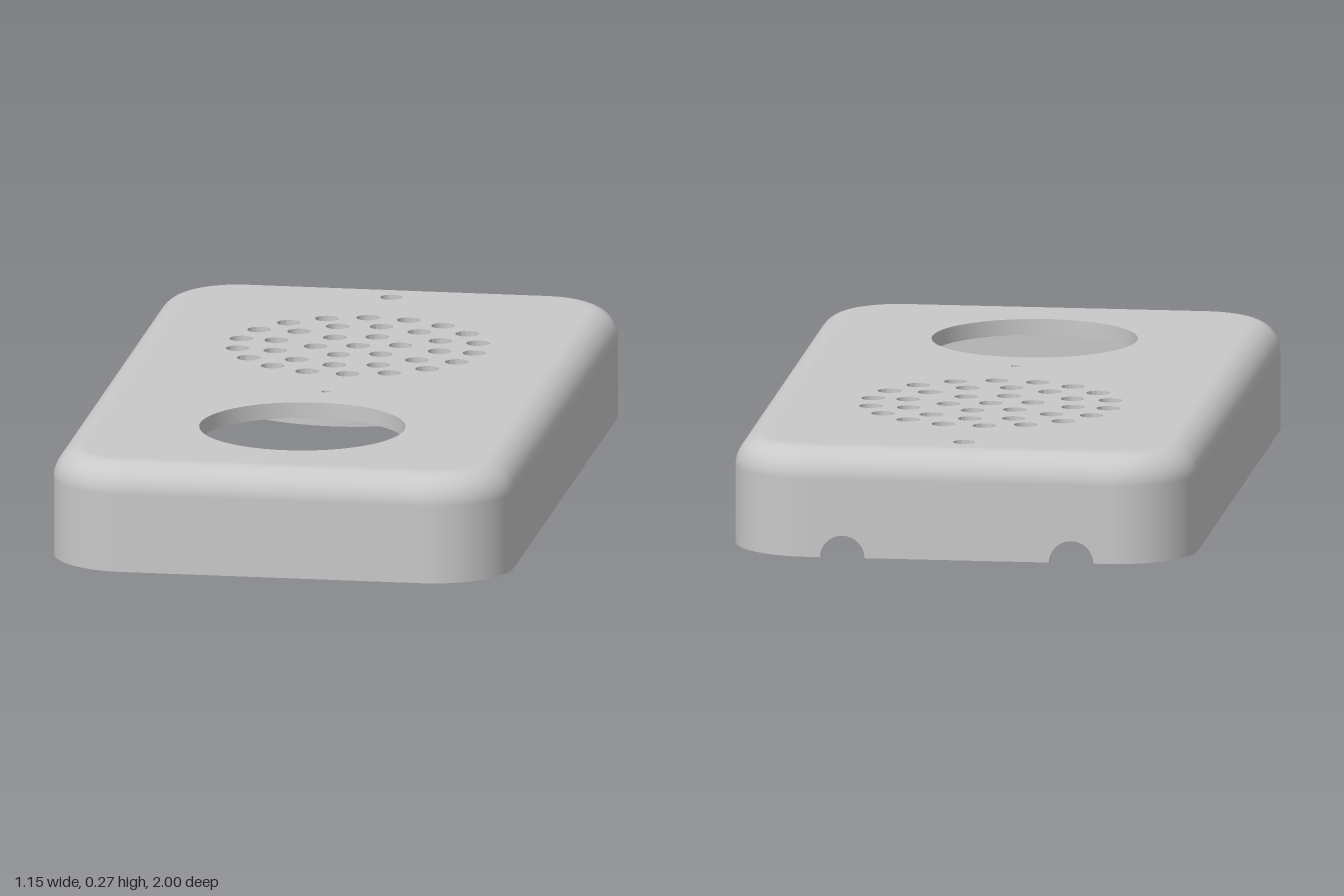
import * as THREE from 'three';
import { toCreasedNormals } from 'three/addons/utils/BufferGeometryUtils.js';

const HX = 0.575, HZ = 1, CORNER = 0.2;   // plan half sizes and corner radius
const H = 0.271, FILLET = 0.075;          // height and top edge rounding
const T = 0.04, LIP = 0.02, LEDGE = 0.035; // wall, rebate width, rebate height
const SEAM = H - FILLET;
const SEG = 14;

// Rounded rectangle, moved inwards by d: points with their outward directions
function contour(d) {
  const pts = [];
  const signs = [[1, 1], [-1, 1], [-1, -1], [1, -1]];
  signs.forEach(([sx, sz], k) => {
    for (let i = 0; i <= SEG; i++) {
      const a = (k + i / SEG) * Math.PI / 2;
      const c = Math.cos(a), s = Math.sin(a);
      pts.push({
        x: sx * (HX - CORNER) + (CORNER - d) * c,
        z: sz * (HZ - CORNER) + (CORNER - d) * s, c, s,
      });
    }
  });
  return pts;
}

// Sweeps rows of [inset, y, normalOut, normalUp] round the contour,
// leaving the straight back wall open below the seam
function sweep(rows) {
  const pos = [], nor = [], idx = [];
  const n = 4 * (SEG + 1), backPanel = 3 * (SEG + 1) - 1;
  rows.forEach(([d, y, no, nu]) => contour(d).forEach((p) => {
    pos.push(p.x, y, p.z);
    nor.push(p.c * no, nu, p.s * no);
  }));
  for (let r = 0; r < rows.length - 1; r++) {
    const low = Math.max(rows[r][1], rows[r + 1][1]) <= SEAM + 1e-6;
    for (let i = 0; i < n; i++) {
      if (low && i === backPanel) continue;
      const j = (i + 1) % n, a = r * n, b = a + n;
      idx.push(a + i, b + i, b + j, a + i, b + j, a + j);
    }
  }
  const g = new THREE.BufferGeometry();
  g.setAttribute('position', new THREE.Float32BufferAttribute(pos, 3));
  g.setAttribute('normal', new THREE.Float32BufferAttribute(nor, 3));
  g.setIndex(idx);
  return g;
}

// Quarter-round rows for the outer (side 1) or inner (side -1) top edge
function filletRows(radius, side) {
  const rows = [];
  for (let i = 0; i <= 10; i++) {
    const a = (i / 10) * Math.PI / 2, c = Math.cos(a), s = Math.sin(a);
    rows.push([FILLET - radius * c, SEAM + radius * s, side * c, side * s]);
  }
  return side > 0 ? rows : rows.reverse();
}

// Back wall layer with two cable notches in its lower edge
function backLayer(bottom, z) {
  const w = HX - CORNER, nx = 0.285, r = 0.055;
  const a = Math.asin(bottom / r);
  const s = new THREE.Shape();
  s.moveTo(-w, SEAM);
  s.lineTo(-w, bottom);
  for (const x of [-nx, nx]) {
    s.lineTo(x - r * Math.cos(a), bottom);
    s.absarc(x, 0, r, Math.PI - a, a, true);
  }
  s.lineTo(w, bottom);
  s.lineTo(w, SEAM);
  s.closePath();
  const g = new THREE.ExtrudeGeometry(s, { depth: LIP, bevelEnabled: false, curveSegments: 20 });
  g.translate(0, 0, z);
  return toCreasedNormals(g, 0.6);
}

// Flat top with every opening cut through (outline anticlockwise, holes clockwise)
function topPlate() {
  const s = new THREE.Shape(contour(FILLET).map((p) => new THREE.Vector2(p.x, -p.z)).reverse());
  const hole = (x, z, r) => {
    const h = new THREE.Path();
    h.absarc(x, -z, r, 0, Math.PI * 2, true);
    s.holes.push(h);
  };
  hole(0, 0.523, 0.255);
  hole(0, 0.151, 0.012);
  hole(0, -0.858, 0.027);
  // Grille: centre hole and three rings [count, radius, start angle in degrees]
  hole(0, -0.34, 0.029);
  for (const [count, radius, start] of [[6, 0.105, -12], [12, 0.21, 7], [18, 0.298, 5.8]]) {
    for (let i = 0; i < count; i++) {
      const a = start * Math.PI / 180 + (i / count) * Math.PI * 2;
      hole(radius * Math.cos(a), -0.34 + radius * Math.sin(a), 0.029);
    }
  }
  const g = new THREE.ExtrudeGeometry(s, { depth: T, bevelEnabled: false, curveSegments: 28 });
  g.rotateX(-Math.PI / 2);
  g.translate(0, H - T, 0);
  return toCreasedNormals(g, 0.6);
}

function lathe(points, segments) {
  const g = new THREE.LatheGeometry(points.map(([x, y]) => new THREE.Vector2(x, y)), segments);
  return toCreasedNormals(g, 0.6);
}

export function createModel() {
  const group = new THREE.Group();
  const grey = new THREE.MeshStandardMaterial({ color: 0xc9c9c9 });
  grey.name = 'grey plastic';

  const add = (name, geometry, x = 0, z = 0) => {
    const m = new THREE.Mesh(geometry, grey);
    m.name = name;
    m.position.set(x, 0, z);
    group.add(m);
  };

  // Shell walls, outside then inside, then the stepped lower rim
  add('outerWall', sweep([[0, 0, 1, 0], ...filletRows(FILLET, 1)]));
  add('innerWall', sweep([...filletRows(FILLET - T, -1), [T, LEDGE, -1, 0]]));
  add('rimLedge', sweep([[T, LEDGE, 0, -1], [LIP, LEDGE, 0, -1]]));
  add('rimStep', sweep([[LIP, LEDGE, -1, 0], [LIP, 0, -1, 0]]));
  add('rimEdge', sweep([[LIP, 0, 0, -1], [0, 0, 0, -1]]));
  add('backWallOuter', backLayer(0, -HZ));
  add('backWallInner', backLayer(LEDGE, -HZ + LIP));

  add('topPlate', topPlate());

  // Collar behind the grille
  const under = H - T + 0.005;
  add('speakerCollar', lathe([[0.34, under], [0.34, 0.155], [0.375, 0.155], [0.375, under]], 64), 0, -0.34);

  // Screw posts with blind holes
  const post = lathe([[0, 0.17], [0.021, 0.17], [0.021, LEDGE], [0.058, LEDGE], [0.058, under]], 32);
  for (const x of [-0.406, 0.406]) {
    for (const z of [-0.832, 0.832]) add('screwPost', post, x, z);
  }
  return group;
}
